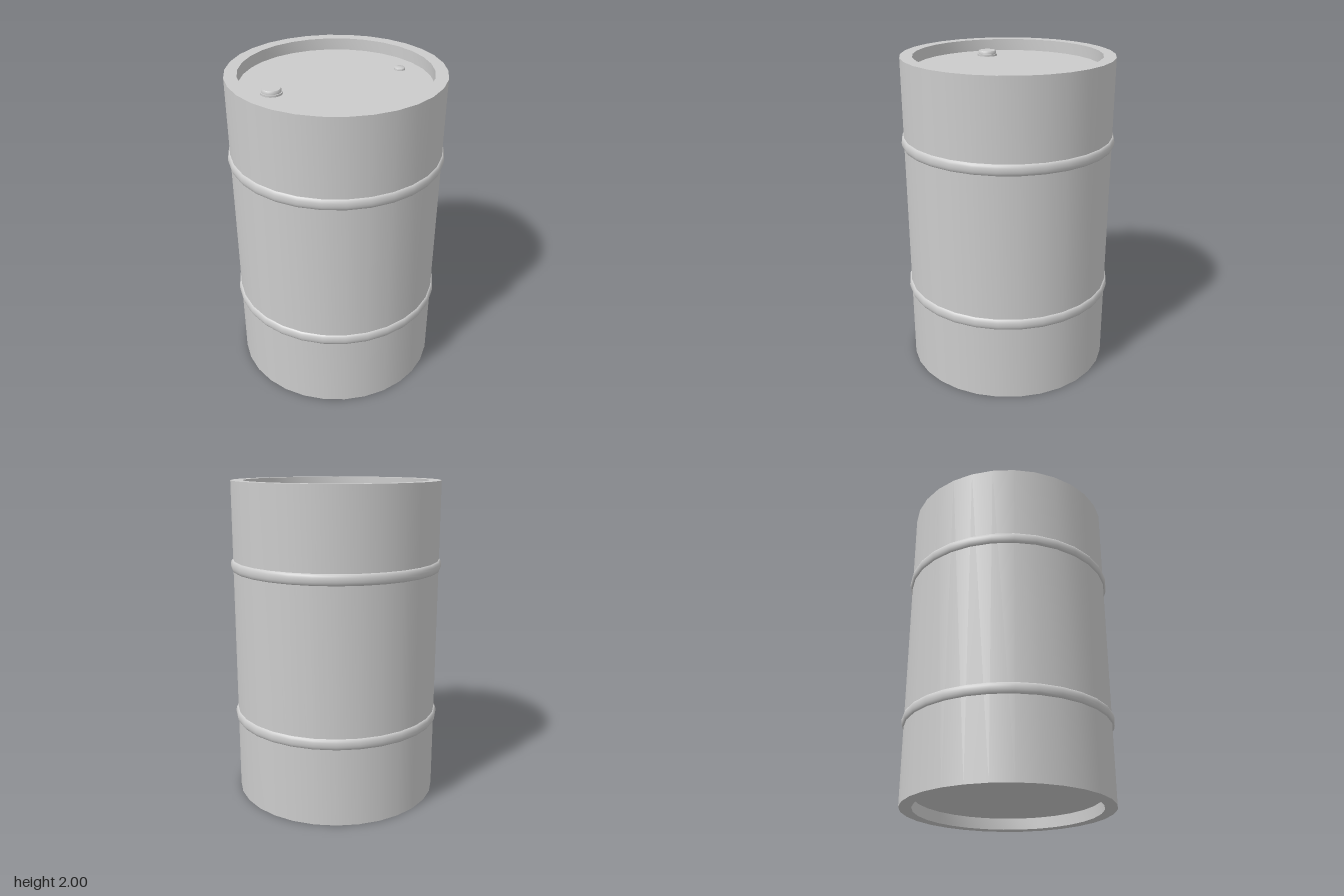
import * as THREE from 'three';
import { toCreasedNormals } from 'three/addons/utils/BufferGeometryUtils.js';

const material = new THREE.MeshStandardMaterial({ color: 0xcccccc });

// Revolve a bottom-to-top [radius, y] profile, keeping hard profile edges sharp
function revolve(name, profile, sides) {
  const points = profile.map(([r, y]) => new THREE.Vector2(r, y));
  const lathe = new THREE.LatheGeometry(points, sides, Math.PI / 2);
  const mesh = new THREE.Mesh(toCreasedNormals(lathe, 0.8), material);
  mesh.name = name;
  return mesh;
}

export function createModel() {
  const drum = new THREE.Group();
  drum.name = 'drum';

  const SIDES = 30, R = 0.645, LIP = 0.57, RECESS = 0.073;
  const lidY = 2 - RECESS;

  // Closed shell with a recessed base and lid
  drum.add(revolve('shell', [
    [0, RECESS], [LIP, RECESS], [LIP, 0], [R, 0],
    [R, 2], [LIP, 2], [LIP, lidY], [0, lidY],
  ], SIDES));

  // Two rounded rolling hoops
  [['lowerHoop', 0.52], ['upperHoop', 1.487]].forEach(([name, y]) => {
    const profile = [];
    for (let i = 0; i <= 8; i++) {
      const t = -Math.PI / 2 + (i / 8) * Math.PI;
      profile.push([R - 0.001 + 0.016 * Math.cos(t), 0.034 * Math.sin(t)]);
    }
    const hoop = revolve(name, profile, SIDES);
    hoop.position.y = y;
    drum.add(hoop);
  });

  // Large stepped bung with a bevelled cap
  const largeBung = revolve('largeBung', [
    [0.065, 0], [0.065, 0.012], [0.058, 0.012],
    [0.058, 0.025], [0.053, 0.032], [0, 0.032],
  ], 24);
  largeBung.position.set(-0.36, lidY, 0.17);
  drum.add(largeBung);

  // Small vent bung
  const smallBung = revolve('smallBung', [
    [0.034, 0], [0.034, 0.01], [0.03, 0.014], [0, 0.014],
  ], 24);
  smallBung.position.set(0.38, lidY, -0.22);
  drum.add(smallBung);

  return drum;
}
